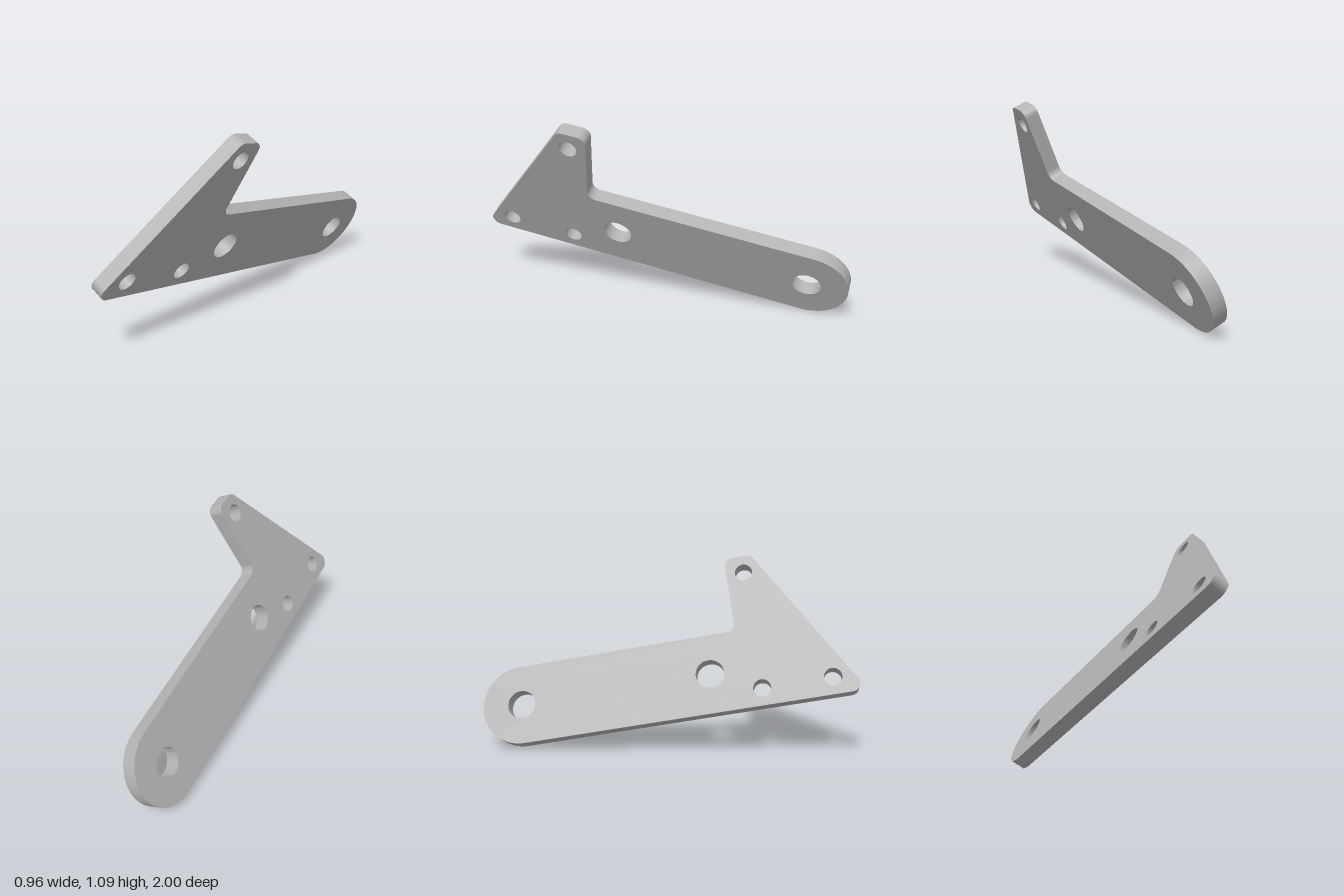
import * as THREE from 'three';
import { toCreasedNormals } from 'three/addons/utils/BufferGeometryUtils.js';

const THICKNESS = 0.083;
const ARM_RADIUS = 0.229;

// Rounds the corner at c, coming from p and going to q, with a true arc
function fillet(shape, p, c, q, r) {
  const u = p.clone().sub(c).normalize();
  const v = q.clone().sub(c).normalize();
  const half = Math.acos(u.dot(v)) / 2;
  const centre = u.clone().add(v).normalize().multiplyScalar(r / Math.sin(half)).add(c);
  const reach = r / Math.tan(half);
  const start = u.multiplyScalar(reach).add(c).sub(centre);
  const end = v.multiplyScalar(reach).add(c).sub(centre);
  shape.absarc(centre.x, centre.y, r, start.angle(), end.angle(), start.cross(end) < 0);
}

export function createModel() {
  const steel = new THREE.MeshStandardMaterial({ color: 0xb2b2b2 });
  steel.name = 'plain grey';

  // Outline in the plate's own plane, with the arm's end hole at the origin
  const armEnd = new THREE.Vector2(0, ARM_RADIUS);
  const heelStart = new THREE.Vector2(0, -ARM_RADIUS);
  const corners = [
    [-1.282, ARM_RADIUS], // inner corner between arm and upright
    [-1.282, 0.68],       // top right
    [-1.439, 0.68],       // top left
    [-1.942, -ARM_RADIUS] // pointed heel
  ].map(([x, y]) => new THREE.Vector2(x, y));
  const path = [armEnd, ...corners, heelStart];

  const outline = new THREE.Shape();
  outline.absarc(0, 0, ARM_RADIUS, -Math.PI / 2, Math.PI / 2, false);
  for (let i = 1; i < path.length - 1; i++) {
    fillet(outline, path[i - 1], path[i], path[i + 1], 0.048);
  }
  outline.closePath();

  // Two large pivot holes and three small bolt holes
  const holes = [
    [0, 0, 0.081], [-1.104, 0, 0.081],
    [-1.773, -0.129, 0.05], [-1.38, -0.129, 0.05], [-1.383, 0.577, 0.05]
  ];
  for (const [x, y, r] of holes) {
    outline.holes.push(new THREE.Path().absarc(x, y, r, 0, Math.PI * 2, true));
  }

  const extruded = new THREE.ExtrudeGeometry(outline, {
    depth: THICKNESS, bevelEnabled: false, curveSegments: 32
  });
  extruded.translate(0, 0, -THICKNESS);
  const plate = new THREE.Mesh(toCreasedNormals(extruded, 0.6), steel);
  plate.name = 'bracketPlate';

  // Tilt the plate into place
  const normal = new THREE.Vector3(0.8115, -0.4342, 0.3911).normalize();
  const up = normal.clone().cross(new THREE.Vector3(0.3488, -0.1771, -0.9202)).normalize();
  const along = up.clone().cross(normal);
  plate.quaternion.setFromRotationMatrix(new THREE.Matrix4().makeBasis(along, up, normal));
  plate.position.set(0.35, 0.207, -0.757);

  const group = new THREE.Group();
  group.name = 'bracket';
  group.add(plate);
  return group;
}
